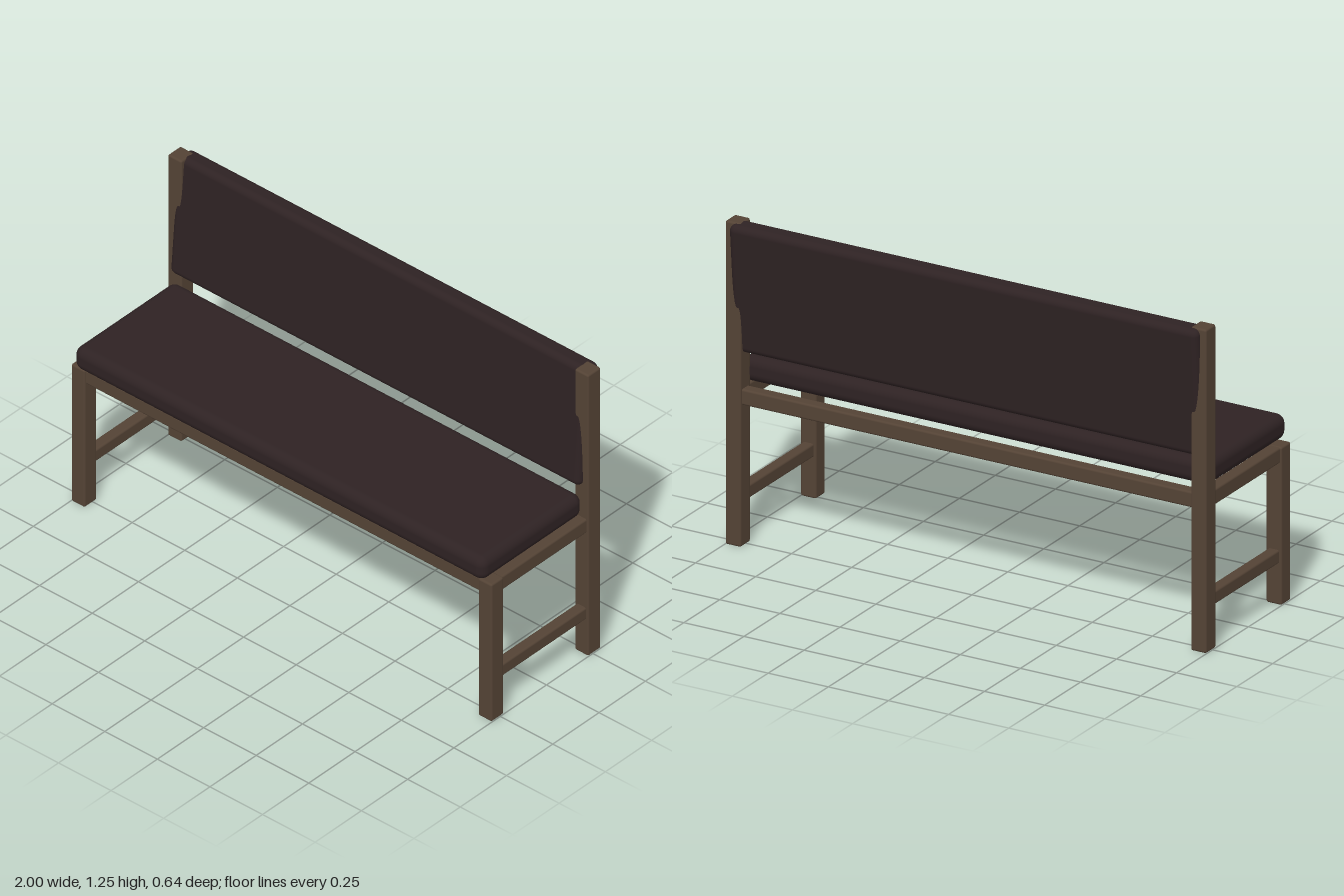
import * as THREE from 'three';
import { RoundedBoxGeometry } from 'three/addons/geometries/RoundedBoxGeometry.js';

export function createModel() {
  const bench = new THREE.Group();
  bench.name = 'bench';

  const wood = new THREE.MeshStandardMaterial({ color: 0x544335 });
  wood.name = 'brown wood';
  const fabric = new THREE.MeshStandardMaterial({ color: 0x2e2223 });
  fabric.name = 'dark upholstery';

  // Rounded block given by its extents [min, max] on each axis
  function block(name, [x0, x1], [y0, y1], [z0, z1], radius, segments, material) {
    const geometry = new RoundedBoxGeometry(x1 - x0, y1 - y0, z1 - z0, segments, radius);
    const mesh = new THREE.Mesh(geometry, material);
    mesh.name = name;
    mesh.position.set((x0 + x1) / 2, (y0 + y1) / 2, (z0 + z1) / 2);
    bench.add(mesh);
    return mesh;
  }
  const beam = (name, x, y, z) => block(name, x, y, z, 0.008, 2, wood);

  // End frames: legs, seat rail and low stretcher on each side
  for (const [side, s] of [['left', 1], ['right', -1]]) {
    const span = (a, b) => (s > 0 ? [a, b] : [-b, -a]);
    beam(side + 'FrontLeg', span(0.935, 1), [0, 0.61], [0.23, 0.297]);
    beam(side + 'BackPost', span(0.935, 1), [0, 1.25], [-0.295, -0.225]);
    beam(side + 'SeatRail', span(0.942, 0.993), [0.547, 0.608], [-0.235, 0.24]);
    beam(side + 'Stretcher', span(0.945, 0.99), [0.16, 0.212], [-0.235, 0.24]);
  }

  // Long rails under the seat
  beam('frontRail', [-0.943, 0.943], [0.547, 0.608], [0.238, 0.289]);
  beam('backRail', [-0.943, 0.943], [0.547, 0.608], [-0.286, -0.237]);

  // Seat cushion and leaning backrest
  block('seatCushion', [-0.975, 0.975], [0.612, 0.71], [-0.23, 0.318], 0.036, 5, fabric);
  const backrest = block('backrest', [-0.975, 0.975], [0.745, 1.249], [-0.301, -0.221], 0.025, 5, fabric);
  backrest.rotation.x = -0.083;

  return bench;
}
